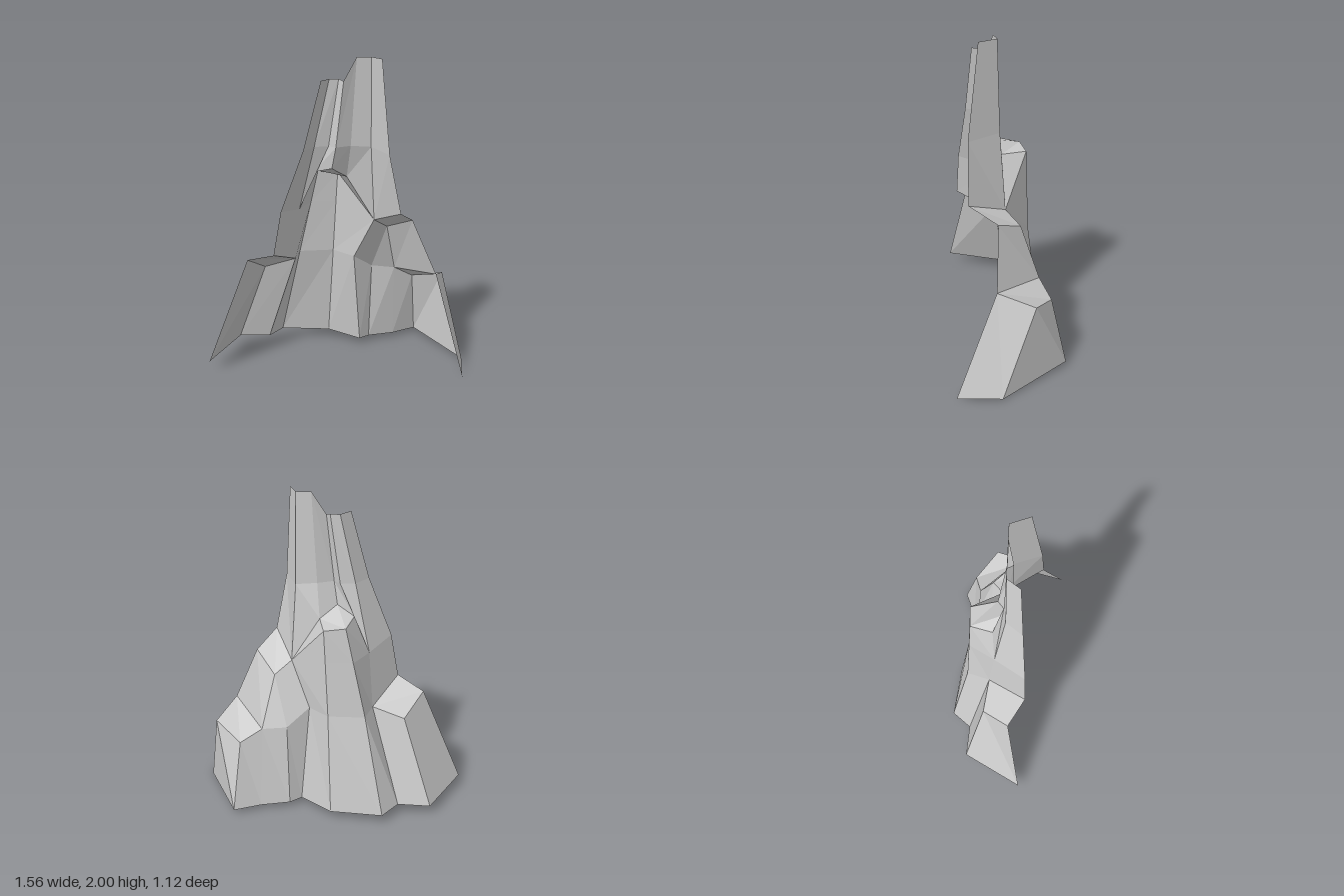
import * as THREE from 'three';

const rock = new THREE.MeshStandardMaterial({ color: 0xcccccc, flatShading: true, side: THREE.DoubleSide });

// Skins a stack of cross-sections, listed from top to bottom, each running towards +x
function cliff(name, rows) {
  const positions = [];
  const face = (a, b, c) => {
    if (a !== b && b !== c && a !== c) positions.push(...a, ...b, ...c);
  };
  for (let i = 0; i < rows.length - 1; i++) {
    for (let j = 0; j < rows[i].length - 1; j++) {
      const a = rows[i][j], b = rows[i][j + 1], c = rows[i + 1][j], d = rows[i + 1][j + 1];
      face(a, b, c);
      face(b, d, c);
    }
  }
  const geometry = new THREE.BufferGeometry();
  geometry.setAttribute('position', new THREE.Float32BufferAttribute(positions, 3));
  geometry.computeVertexNormals();
  const mesh = new THREE.Mesh(geometry, rock);
  mesh.name = name;
  return mesh;
}

export function createModel() {
  const group = new THREE.Group();
  group.name = 'rockCliff';

  // Corners shared by neighbouring parts
  const spireFoot = [-0.15, 1.03, -0.22];
  const leftNook = [-0.16, 0.68, -0.27];
  const leftNookBase = [-0.27, 0.065, -0.475];
  const leftBack = [-0.39, 0.79, -0.1];
  const leftRim = [-0.505, 0.73, -0.255], leftCorner = [-0.335, 0.62, -0.37];
  const cleftMid = [-0.09, 1.45, -0.12], cleftTop = [-0.005, 1.87, -0.08];
  const crestL = [-0.06, 1.27, -0.195], crestM = [0.01, 1.31, -0.075], crestR = [0.13, 1.24, -0.1];
  const browL = [0.03, 1.245, -0.31], browR = [0.155, 1.23, -0.27];
  const notchTop = [0.06, 1.86, -0.015], notchMid = [0.02, 1.45, -0.04];
  const ribTop = [0.05, 1.87, -0.06], ribMid = [0, 1.45, -0.1];
  const shelfA = [0.29, 0.95, -0.02], shelfB = [0.315, 1.06, 0.265];
  const shelfC = [0.408, 0.88, -0.05], shelfD = [0.47, 0.97, 0.16];
  const stepA = [0.515, 0.55, -0.12], stepB = [0.6, 0.61, 0.255];
  const stepC = [0.655, 0.47, -0.11], stepD = [0.765, 0.54, 0.09];
  const wallMid = [0.37, 0.57, -0.18], wallBase = [0.37, 0.035, -0.21];
  const gullyMid = [0.215, 0.67, -0.15], gullyBase = [0.285, 0.04, -0.188];

  group.add(
    // Left spire and the cleft beside it
    cliff('leftSpire', [
      [[-0.09, 1.87, -0.025], cleftTop],
      [[-0.2, 1.45, -0.05], cleftMid],
      [[-0.342, 1.07, -0.085], spireFoot],
      [leftBack, leftNook],
    ]),
    cliff('spireCleft', [
      [cleftTop, ribTop, notchTop],
      [cleftMid, ribMid, notchMid],
      [spireFoot, crestL, crestM],
    ]),

    // Right spire with its end face
    cliff('rightSpire', [
      [notchTop, [0.15, 2, -0.015], [0.235, 2, 0.015], [0.235, 2, 0.145]],
      [notchMid, [0.128, 1.45, -0.045], [0.25, 1.44, 0], [0.25, 1.43, 0.225]],
      [crestM, crestR, shelfA, shelfB],
    ]),

    // Left buttress under its sloping ledge
    cliff('leftLedge', [[leftBack, leftNook], [leftRim, leftCorner]]),
    cliff('leftButtress', [
      [leftRim, leftCorner, leftNook],
      [[-0.78, 0.07, -0.28], [-0.455, 0.07, -0.56], leftNookBase],
    ]),

    // Central buttress: ledge, flank, face and gully
    cliff('centreLedge', [[crestL, crestM, crestR], [browL, browL, browR]]),
    cliff('centreButtress', [
      [crestL, browL, browR, browR],
      [spireFoot, [-0.008, 1.03, -0.34], [0.15, 1.03, -0.285], shelfA],
      [leftNook, [-0.07, 0.68, -0.39], [0.142, 0.68, -0.31], gullyMid],
      [leftNookBase, [-0.135, 0.06, -0.555], [0.155, 0.05, -0.405], gullyBase],
    ]),
    cliff('gullyTop', [[crestR, shelfA], [browR, browR]]),

    // Upper and lower shelves stepping down to the right
    cliff('upperShelf', [[shelfA, shelfB], [shelfC, shelfD]]),
    cliff('upperShelfWall', [[shelfC, shelfD], [stepA, stepB]]),
    cliff('lowerShelf', [[stepA, stepB], [stepC, stepD]]),

    // Right base walls and end buttress
    cliff('rightWall', [
      [shelfA, shelfC, shelfC],
      [gullyMid, wallMid, stepA],
      [gullyBase, wallBase, [0.55, 0.03, -0.18]],
    ]),
    cliff('endButtress', [
      [stepA, stepC, stepD, stepB],
      [[0.55, 0.03, -0.18], [0.73, 0.03, -0.185], [0.78, 0, 0.33], [0.625, 0, 0.555]],
    ]),
  );
  return group;
}
